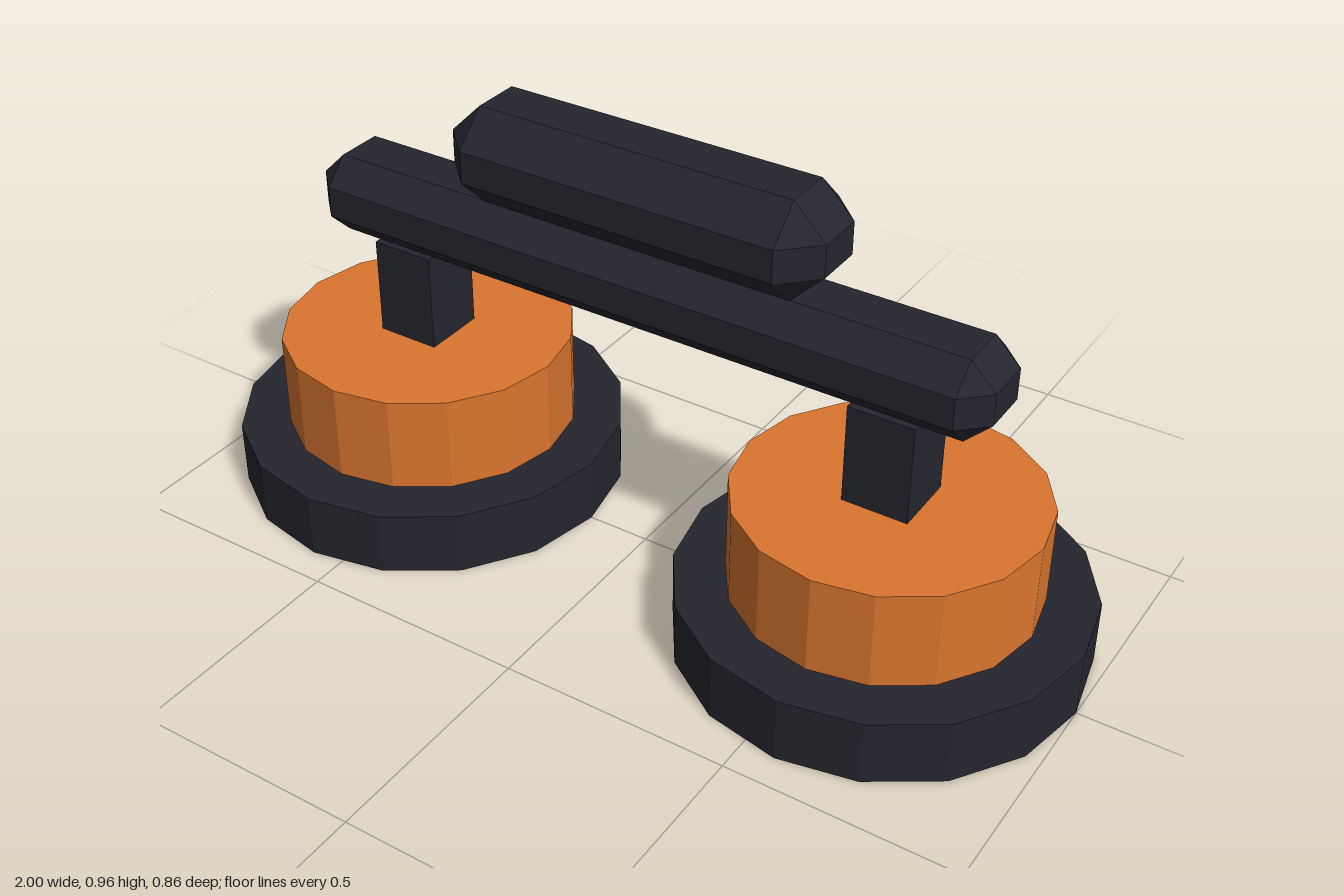
import * as THREE from 'three';
import { ConvexGeometry } from 'three/addons/geometries/ConvexGeometry.js';

const dark = new THREE.MeshStandardMaterial({ color: 0x25252f, flatShading: true });
dark.name = 'charcoal';
const orange = new THREE.MeshStandardMaterial({ color: 0xd97530, flatShading: true });
orange.name = 'orange';

// Box whose every edge is cut by a single flat bevel
function bevelledBox(w, h, d, bevel) {
  const half = [w / 2, h / 2, d / 2];
  const points = [];
  for (const sx of [-1, 1]) for (const sy of [-1, 1]) for (const sz of [-1, 1]) {
    for (let axis = 0; axis < 3; axis++) {
      const p = half.map((v, i) => (i === axis ? v : v - bevel));
      points.push(new THREE.Vector3(p[0] * sx, p[1] * sy, p[2] * sz));
    }
  }
  return new ConvexGeometry(points);
}

export function createModel() {
  const model = new THREE.Group();
  model.name = 'twinFootHandle';

  const add = (name, geometry, material, x, y) => {
    const mesh = new THREE.Mesh(geometry, material);
    mesh.name = name;
    mesh.position.set(x, y, 0);
    model.add(mesh);
  };

  // Two round feet, each with a collar and a post
  for (const [side, s] of [['left', 1], ['right', -1]]) {
    const x = 0.571 * s;
    add(side + 'FootPad', new THREE.CylinderGeometry(0.429, 0.429, 0.143, 16), dark, x, 0.0715);
    add(side + 'Collar', new THREE.CylinderGeometry(0.321, 0.321, 0.214, 16), orange, x, 0.25);
    add(side + 'Post', new THREE.BoxGeometry(0.143, 0.222, 0.143), dark, x, 0.464);
  }

  // Crossbar joining the posts, with the thicker grip on top
  add('crossbar', bevelledBox(1.571, 0.179, 0.214, 0.055), dark, 0, 0.661);
  add('grip', bevelledBox(0.857, 0.214, 0.25, 0.0715), dark, 0, 0.857);

  return model;
}
